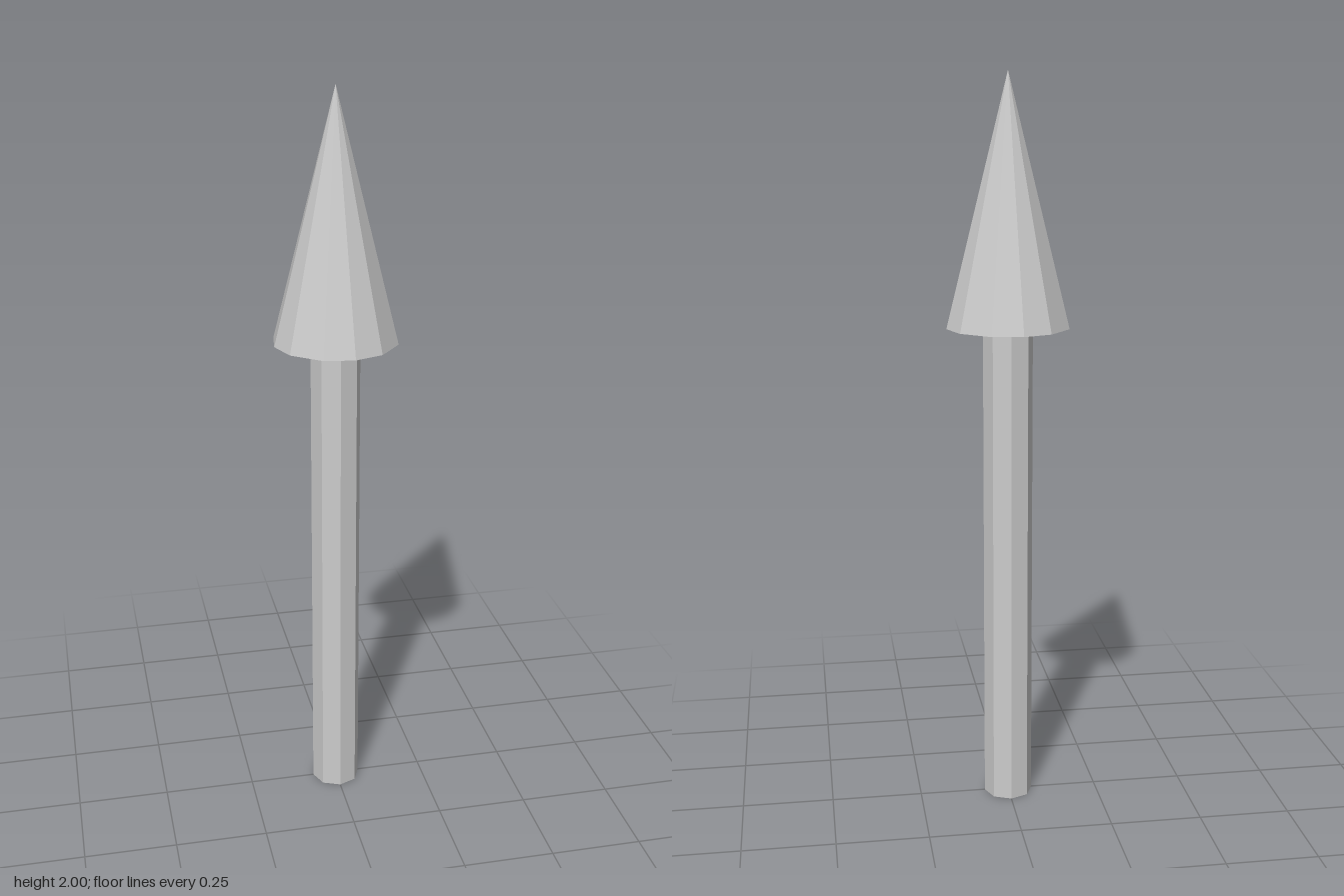
import * as THREE from 'three';

const material = new THREE.MeshStandardMaterial({ color: 0xcccccc, flatShading: true });

// Slightly uneven twelve-sided spacing, repeating every quarter turn
const QUARTER = [6, 34, 67.5];

function addPart(group, name, geometry, y) {
  const mesh = new THREE.Mesh(geometry, material);
  mesh.name = name;
  mesh.position.y = y;
  group.add(mesh);
}

// Cone whose corners are moved onto the uneven spacing
function headGeometry(radius, height) {
  const geometry = new THREE.ConeGeometry(radius, height, 12);
  const pos = geometry.attributes.position;
  for (let i = 0; i < pos.count; i++) {
    const r = Math.hypot(pos.getX(i), pos.getZ(i));
    if (r < 1e-6) continue;
    const angle = Math.atan2(pos.getX(i), pos.getZ(i));
    const k = (Math.round(angle / (Math.PI / 6)) + 12) % 12;
    const a = THREE.MathUtils.degToRad(QUARTER[k % 3] + 90 * Math.floor(k / 3));
    pos.setXYZ(i, r * Math.sin(a), pos.getY(i), r * Math.cos(a));
  }
  geometry.computeVertexNormals();
  return geometry;
}

export function createModel() {
  const group = new THREE.Group();
  group.name = 'arrow';

  // Eight-sided shaft standing on the ground
  addPart(group, 'shaft', new THREE.CylinderGeometry(0.067, 0.067, 1.34, 8), 0.67);

  // Pointed head with a flat underside
  addPart(group, 'arrowHead', headGeometry(0.167, 0.66), 1.67);

  return group;
}
